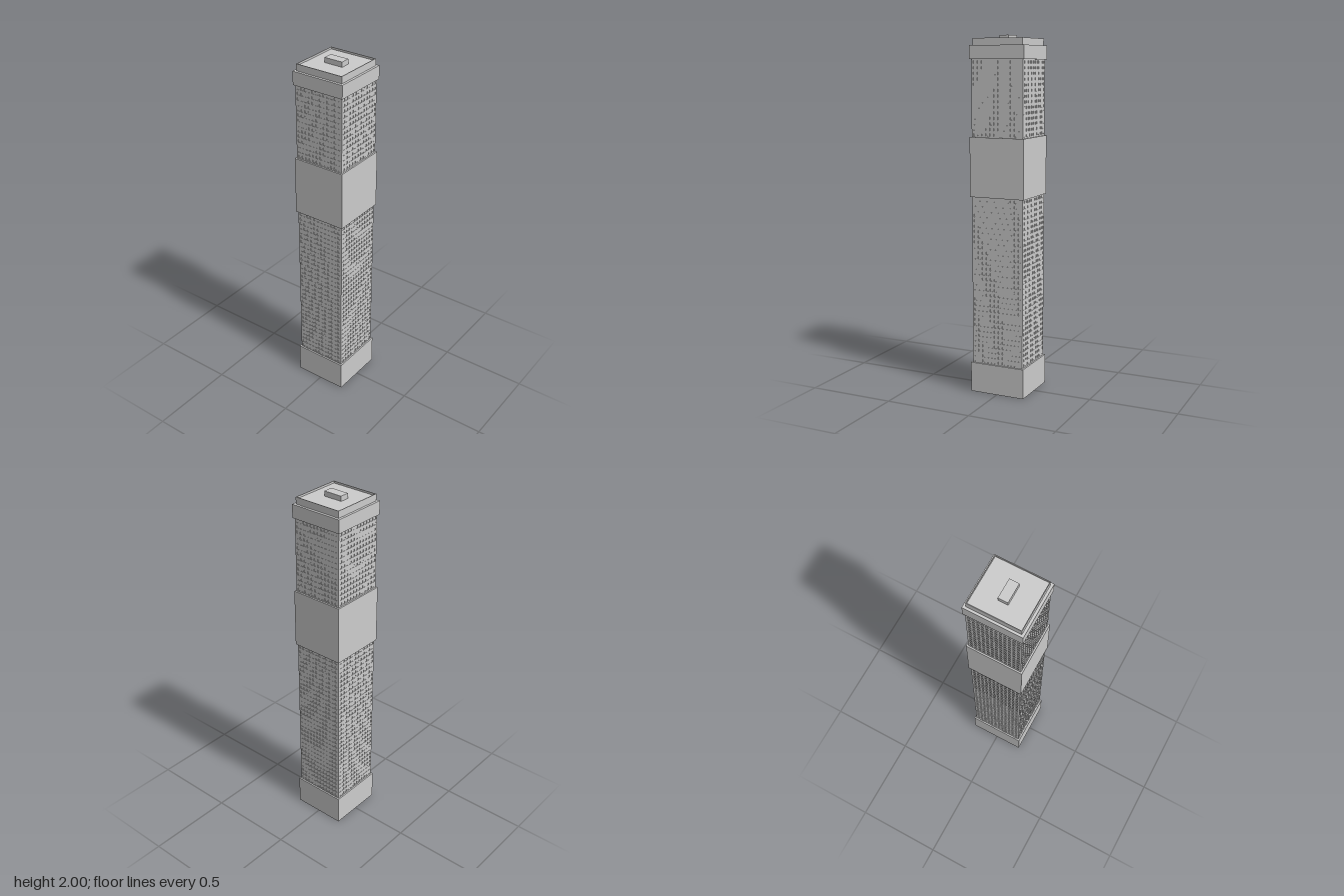
import * as THREE from 'three';

const material = new THREE.MeshStandardMaterial({ color: 0xcccccc, flatShading: true });
const sheet = new THREE.MeshStandardMaterial({ color: 0xcccccc, flatShading: true, side: THREE.DoubleSide });
const DEPTH_RATIO = 0.959;            // plan depth relative to width
const HALF_X = 0.153, HALF_Z = 0.147; // outer faces of the shaft
const RECESS = 0.003;

// Rectangular shell swept from a profile of [half width, height] points
function shell(name, profile) {
  const points = profile.map(([r, y]) => new THREE.Vector2(r * Math.SQRT2, y));
  const geometry = new THREE.LatheGeometry(points, 4, Math.PI / 4);
  geometry.scale(1, 1, DEPTH_RATIO);
  const mesh = new THREE.Mesh(geometry.toNonIndexed(), sheet);
  mesh.geometry.computeVertexNormals();
  mesh.name = name;
  return mesh;
}

// Flat wall panel pierced by a regular grid of windows
function facadeGeometry(halfWidth, y0, y1, rows, columns) {
  const shape = new THREE.Shape([
    [-halfWidth, y0], [halfWidth, y0], [halfWidth, y1], [-halfWidth, y1],
  ].map(([x, y]) => new THREE.Vector2(x, y)));
  const stepX = (2 * halfWidth - 0.012) / columns;
  const stepY = (y1 - y0) / rows;
  const w = stepX * 0.3, h = stepY * 0.24;
  for (let r = 0; r < rows; r++) {
    for (let c = 0; c < columns; c++) {
      const x = (c + 0.5 - columns / 2) * stepX;
      const y = y0 + (r + 0.5) * stepY;
      shape.holes.push(new THREE.Path([
        [x - w, y - h], [x - w, y + h], [x + w, y + h], [x + w, y - h],
      ].map(([px, py]) => new THREE.Vector2(px, py))));
    }
  }
  return new THREE.ExtrudeGeometry(shape, { depth: RECESS, bevelEnabled: false });
}

// Four window walls around one stretch of the shaft
function windowZone(name, y0, y1, rows) {
  const zone = new THREE.Group();
  zone.name = name;
  const wide = facadeGeometry(HALF_X, y0, y1, rows, 12);
  const narrow = facadeGeometry(HALF_Z, y0, y1, rows, 12);
  ['frontWall', 'leftWall', 'backWall', 'rightWall'].forEach((wallName, i) => {
    const wall = new THREE.Mesh(i % 2 ? narrow : wide, material);
    const out = (i % 2 ? HALF_X : HALF_Z) - RECESS;
    const angle = i * Math.PI / 2;
    wall.name = wallName;
    wall.rotation.y = angle;
    wall.position.set(Math.sin(angle) * out, 0, Math.cos(angle) * out);
    zone.add(wall);
  });
  return zone;
}

export function createModel() {
  const tower = new THREE.Group();
  tower.name = 'tower';

  // Open-bottomed base and the projecting bands
  tower.add(shell('base', [[0.162, 0], [0.162, 0.17], [0.15, 0.17]]));
  tower.add(shell('middleBand', [[0.15, 1.12], [0.162, 1.12], [0.162, 1.45], [0.15, 1.45]]));
  tower.add(shell('crownBand', [[0.15, 1.87], [0.162, 1.87], [0.162, 1.945], [0.146, 1.945]]));

  // Shaft: glazing set just behind the pierced walls
  tower.add(shell('glazing', [[0.1508, 0.17], [0.1508, 1.87]]));
  tower.add(windowZone('lowerFloors', 0.17, 1.12, 32));
  tower.add(windowZone('upperFloors', 1.45, 1.87, 14));

  // Parapet with a sunken roof deck
  tower.add(shell('parapetAndRoof', [
    [0.148, 1.945], [0.148, 1.983], [0.144, 1.983], [0.144, 1.972], [0, 1.972],
  ]));

  // Rooftop plant room
  const plant = new THREE.Mesh(new THREE.BoxGeometry(0.054, 0.028, 0.111), material);
  plant.name = 'plantRoom';
  plant.position.set(-0.0015, 1.986, 0.0015);
  tower.add(plant);

  return tower;
}
